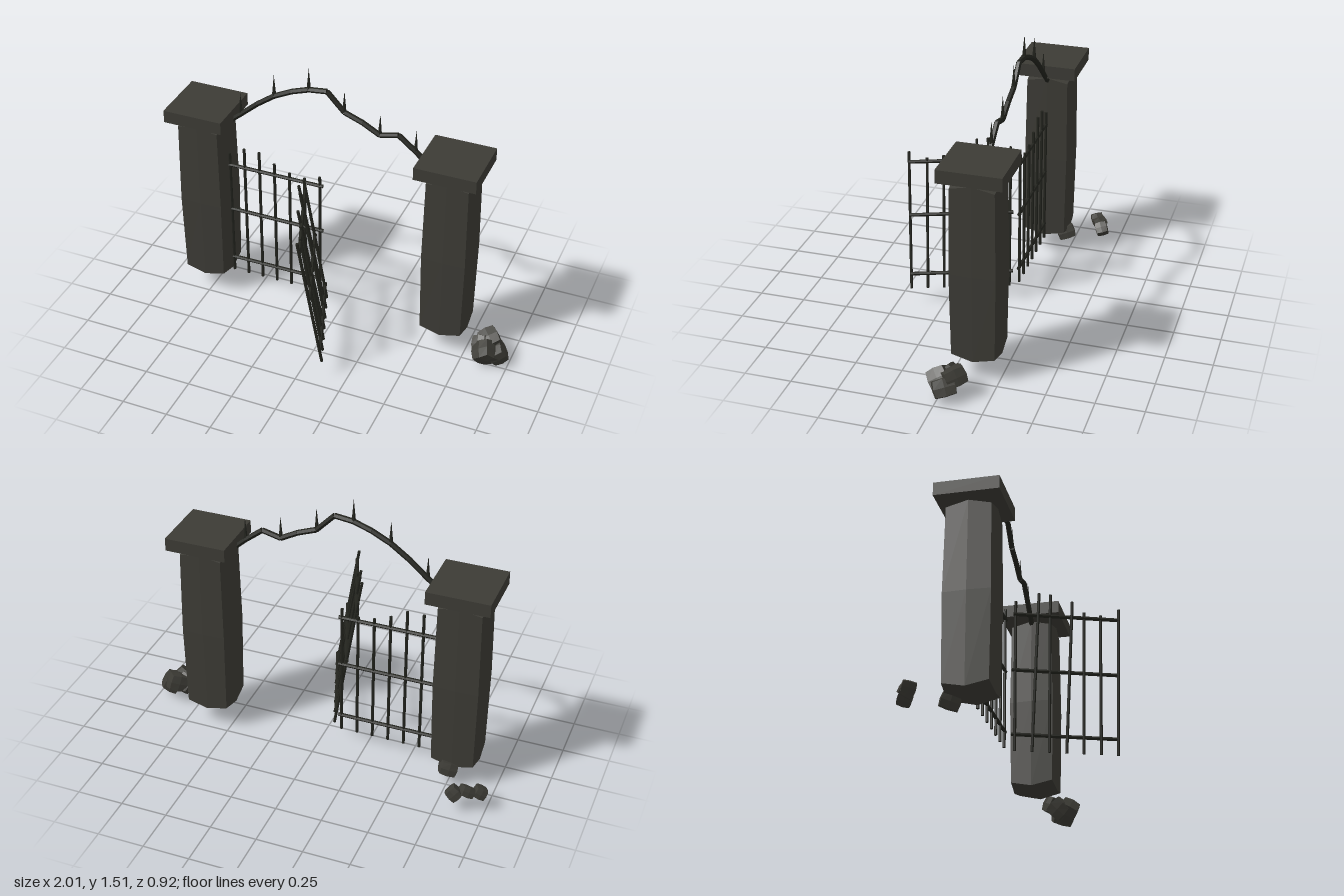
import * as THREE from 'three';

const stone = new THREE.MeshStandardMaterial({ color: 0x3c3b35, flatShading: true });
stone.name = 'weathered stone';
const iron = new THREE.MeshStandardMaterial({ color: 0x23241e, flatShading: true });
iron.name = 'dark iron';

const V = (x, y, z) => new THREE.Vector3(x, y, z);
const UP = V(0, 1, 0);

function add(parent, name, geometry, material) {
  const mesh = new THREE.Mesh(geometry, material);
  mesh.name = name;
  parent.add(mesh);
  return mesh;
}

// Box of 2x2x2 cells whose edge and face centres swell outward
function swollenBox(w, h, d, swell) {
  const g = new THREE.BoxGeometry(2, 2, 2, 2, 2, 2);
  const p = g.attributes.position;
  for (let i = 0; i < p.count; i++) {
    const u = [p.getX(i), p.getY(i), p.getZ(i)];
    const k = 1 + swell * u.filter((c) => Math.abs(c) < 0.5).length;
    p.setXYZ(i, u[0] * k * w / 2, u[1] * k * h / 2, u[2] * k * d / 2);
  }
  g.computeVertexNormals();
  return g;
}

// Straight iron rod from a to b
function rod(parent, name, a, b, radius, sides = 6) {
  const dir = b.clone().sub(a);
  const m = add(parent, name, new THREE.CylinderGeometry(radius, radius, dir.length(), sides), iron);
  m.position.copy(a).add(b).multiplyScalar(0.5);
  m.quaternion.setFromUnitVectors(UP, dir.normalize());
}

function makePillar(x) {
  const g = new THREE.Group();
  g.name = 'pillar';
  add(g, 'pillarShaft', swollenBox(0.226, 0.92, 0.226, 0.055), stone).position.y = 0.6;
  add(g, 'pillarCap', new THREE.BoxGeometry(0.33, 0.07, 0.33), stone).position.y = 1.14;
  g.position.set(x, 0, -0.12);
  return g;
}

// Bent overhead arch with thin spikes on every other joint
function makeArch() {
  const g = new THREE.Group();
  g.name = 'arch';
  const pts = [[-0.66, 1.07], [-0.565, 1.15], [-0.467, 1.235], [-0.37, 1.305], [-0.27, 1.355],
    [-0.175, 1.388], [-0.075, 1.4], [0.02, 1.3], [0.12, 1.262], [0.215, 1.21], [0.315, 1.235],
    [0.41, 1.16], [0.51, 1.07]].map(([x, y]) => V(x, y, -0.12));
  for (let i = 1; i < pts.length; i++) {
    rod(g, 'archSegment', pts[i - 1], pts[i], 0.0145);
    if (i % 2) {
      const s = add(g, 'archSpike', new THREE.ConeGeometry(0.012, 0.125, 5), iron);
      s.position.copy(pts[i]).add(V(0, 0.0625, 0));
    }
  }
  return g;
}

// Gate leaf still hanging on its pillar
function makeHangingGate() {
  const g = new THREE.Group();
  g.name = 'hangingGate';
  [0.885, 0.93, 0.93, 0.88, 0.845, 0.835, 0.865].forEach((top, i) => {
    const x = -0.643 + i * 0.0875;
    rod(g, 'gateBar', V(x, 0.1, -0.12), V(x, top, -0.12), 0.008);
  });
  for (const y of [0.19, 0.52, 0.81]) rod(g, 'gateRail', V(-0.65, y, -0.12), V(-0.1, y, -0.12), 0.01);
  return g;
}

// Leaning gate leaf, swung forward off its hinges
function makeFallenGate() {
  const g = new THREE.Group();
  g.name = 'fallenGate';
  // top height and forward lean of each bar, from the outer end inward
  const bars = [[0.86, 0.037], [0.825, 0.028], [0.835, 0.03], [0.885, 0.06], [0.92, 0.035],
    [0.92, 0.065], [0.875, 0.03]];
  bars.forEach(([top, lean], i) => {
    const x = 0.118 - i * 0.03, z = 0.418 - i * 0.083;
    rod(g, 'fallenBar', V(x, 0.1, z), V(x - 0.151 * (top - 0.1), top, z + lean), 0.008);
  });
  for (const [y, x0, z0, x1, z1] of [[0.185, -0.078, -0.095, 0.113, 0.425],
    [0.515, -0.13, -0.08, 0.062, 0.44], [0.805, -0.178, -0.062, 0.015, 0.455]])
    rod(g, 'fallenRail', V(x0, y, z0), V(x1, y, z1), 0.01);
  return g;
}

// Broken stones lying by the pillars: position, size, turn
function makeRubble() {
  const g = new THREE.Group();
  g.name = 'rubble';
  const stones = [
    [0.885, 0.085, 0.0, 0.1, 0.1, 0.09, 0.5, 0.3, 0.6],
    [0.885, 0.115, -0.07, 0.09, 0.08, 0.1, 0.3, 0.7, 0.2],
    [0.935, 0.075, -0.035, 0.08, 0.08, 0.1, 0.2, 0.5, 0.5],
    [0.85, 0.09, -0.04, 0.07, 0.09, 0.09, 0.8, 0.2, 0.3],
    [-0.963, 0.1, -0.36, 0.055, 0.05, 0.06, 0.2, 0.4, 0.4],
    [-0.9, 0.11, -0.39, 0.06, 0.05, 0.065, 0.5, 0.6, 0.2],
    [-0.84, 0.1, -0.415, 0.06, 0.06, 0.06, 0.3, 0.3, 0.7],
    [-0.75, 0.1, -0.225, 0.08, 0.065, 0.085, 0.3, 0.4, 0.2],
  ];
  for (const [x, y, z, w, h, d, rx, ry, rz] of stones) {
    const m = add(g, 'rubbleStone', swollenBox(w, h, d, 0.1), stone);
    m.position.set(x, y, z);
    m.rotation.set(rx, ry, rz);
  }
  return g;
}

export function createModel() {
  const model = new THREE.Group();
  model.name = 'ruinedGateway';
  model.add(makePillar(-0.77), makePillar(0.62), makeArch(), makeHangingGate(), makeFallenGate(), makeRubble());
  return model;
}
